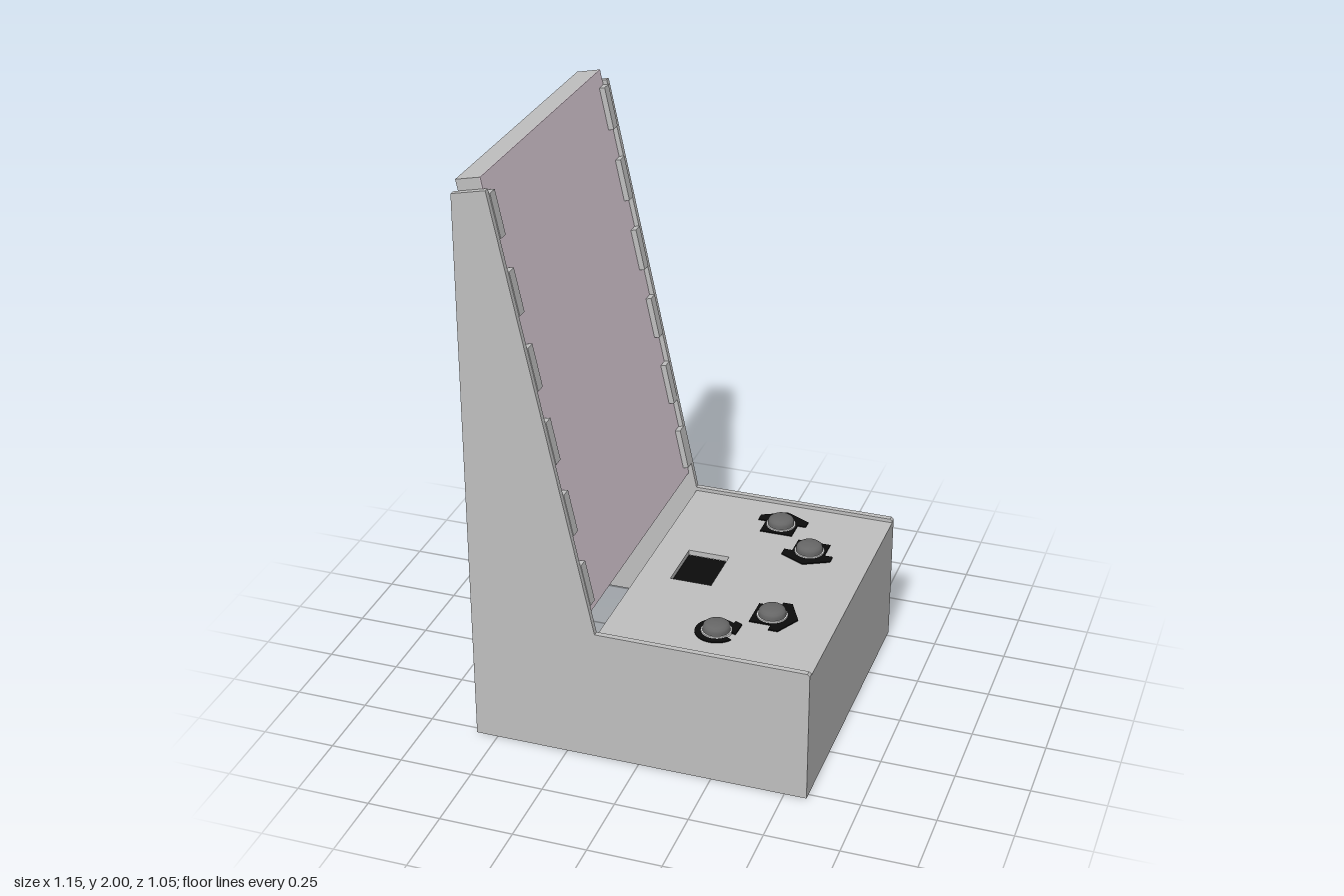
import * as THREE from 'three';

const mat = (name, color) => {
  const m = new THREE.MeshStandardMaterial({ color });
  m.name = name;
  return m;
};

const shapeOf = (pts) => new THREE.Shape(pts.map(([x, y]) => new THREE.Vector2(x, y)));
const rectHole = (x0, y0, x1, y1) =>
  new THREE.Path([[x0, y0], [x0, y1], [x1, y1], [x1, y0]].map(([x, y]) => new THREE.Vector2(x, y)));

export function createModel() {
  const root = new THREE.Group();
  root.name = 'tabletopCabinet';

  const board = mat('grey board', 0xbfbfbf);
  const screen = mat('pale pink screen', 0xd7c9d3);
  const black = mat('black', 0x0c0c0c);
  const cap = mat('dark grey button', 0x666666);
  const rim = mat('light rim', 0xe6e6e6);

  const add = (name, geo, material, parent = root) => {
    const m = new THREE.Mesh(geo, material);
    m.name = name;
    parent.add(m);
    return m;
  };
  const box = (name, x0, x1, y0, y1, z0, z1, material, parent = root) => {
    const m = add(name, new THREE.BoxGeometry(x1 - x0, y1 - y0, z1 - z0), material, parent);
    m.position.set((x0 + x1) / 2, (y0 + y1) / 2, (z0 + z1) / 2);
    return m;
  };
  const extrude = (shape, depth) =>
    new THREE.ExtrudeGeometry(shape, { depth, bevelEnabled: false, curveSegments: 24 });

  // Side panels; only the far one has a hand slot
  const W = 0.523, T = 0.019;
  for (const side of [1, -1]) {
    const s = shapeOf([[-0.575, 0], [0.575, 0], [0.575, 0.467], [0.567, 0.475],
      [-0.145, 0.475], [-0.462, 1.967], [-0.575, 1.943]]);
    if (side < 0) s.holes.push(rectHole(0.1, 0.08, 0.338, 0.165));
    const p = add(side > 0 ? 'leftSidePanel' : 'rightSidePanel', extrude(s, T), board);
    p.position.z = side > 0 ? W - T : -W;
  }

  // Base box: front, back and bottom boards
  const I = W - T;
  box('frontPanel', 0.556, 0.575, 0, 0.462, -W, W, board);
  box('backPanel', -0.135, -0.116, 0, 0.443, -I, I, board);
  box('bottomPanel', -0.135, 0.556, 0.001, 0.02, -I, I, board);

  // Control deck with a display opening
  const deckY = 0.462;
  const deckShape = shapeOf([[-0.145, -I], [0.556, -I], [0.556, I], [-0.145, I]]);
  deckShape.holes.push(rectHole(-0.036, -0.095, 0.108, 0.1));
  const deck = add('controlDeck', extrude(deckShape, 0.019), board);
  deck.rotation.x = -Math.PI / 2;
  deck.position.y = deckY - 0.019;
  box('recessedDisplay', -0.045, 0.117, 0.405, 0.436, -0.11, 0.105, black);

  // Leaning display: local origin at the top front edge, local y runs up the slope
  const display = new THREE.Group();
  display.name = 'leaningDisplay';
  display.position.set(-0.485, 2.0, 0);
  display.rotation.z = Math.atan2(0.315, 1.49);
  root.add(display);
  const L = 1.503;
  box('displayCase', -0.083, -0.004, -L, 0, -I, I, board, display);
  box('screenFace', -0.004, 0, -L, 0, -I, I, screen, display);

  // Retaining teeth down both edges of the screen
  for (const side of [1, -1]) {
    for (let i = 0; i < 6; i++) {
      const y = -0.053 - i * 0.2533;
      box('screenTooth', 0, 0.019, y - 0.146, y, side > 0 ? 0.467 : -I, side > 0 ? I : -0.467, board, display);
    }
  }

  // Flat arrow decals and the buttons over them
  const arrow = shapeOf([[0.088, 0], [0.044, 0.086], [0.012, 0.086], [0.012, 0.057],
    [-0.062, 0.057], [-0.062, -0.057], [0.012, -0.057], [0.012, -0.086], [0.044, -0.086]]);
  const loop = new THREE.Shape();
  loop.absarc(0, 0, 0.071, 0.35, Math.PI * 2 - 0.55, false);
  loop.absarc(0, 0, 0.04, Math.PI * 2 - 0.55, 0.35, true);
  const loopHead = shapeOf([[0.043, 0.071], [0.068, 0.06], [0.065, -0.003], [0.03, 0.012]]);
  const capProfile = [[0.046, 0], [0.046, 0.018], [0.043, 0.027], [0.035, 0.033], [0.02, 0.037], [0, 0.038]]
    .map(([r, y]) => new THREE.Vector2(r, y));

  const buttons = [
    [0.213, -0.362, [arrow], Math.PI / 2],
    [0.357, -0.22, [arrow], -Math.PI / 2],
    [0.357, 0.212, [arrow], 0],
    [0.213, 0.357, [loop, loopHead], 0],
  ];
  for (const [x, z, shapes, turn] of buttons) {
    const g = new THREE.Group();
    g.name = 'button';
    g.position.set(x, deckY, z);
    root.add(g);
    shapes.forEach((s, i) => {
      const d = add('buttonDecal', extrude(s, 0.004 + i * 0.001), black, g);
      d.rotation.set(-Math.PI / 2, 0, turn);
    });
    const ring = add('buttonRim', new THREE.CylinderGeometry(0.051, 0.051, 0.009, 32), rim, g);
    ring.position.y = 0.0045;
    add('buttonCap', new THREE.LatheGeometry(capProfile, 32), cap, g);
    const stem = add('buttonStem', new THREE.CylinderGeometry(0.035, 0.035, 0.06, 20), cap, g);
    stem.position.y = -0.045;
  }

  return root;
}
